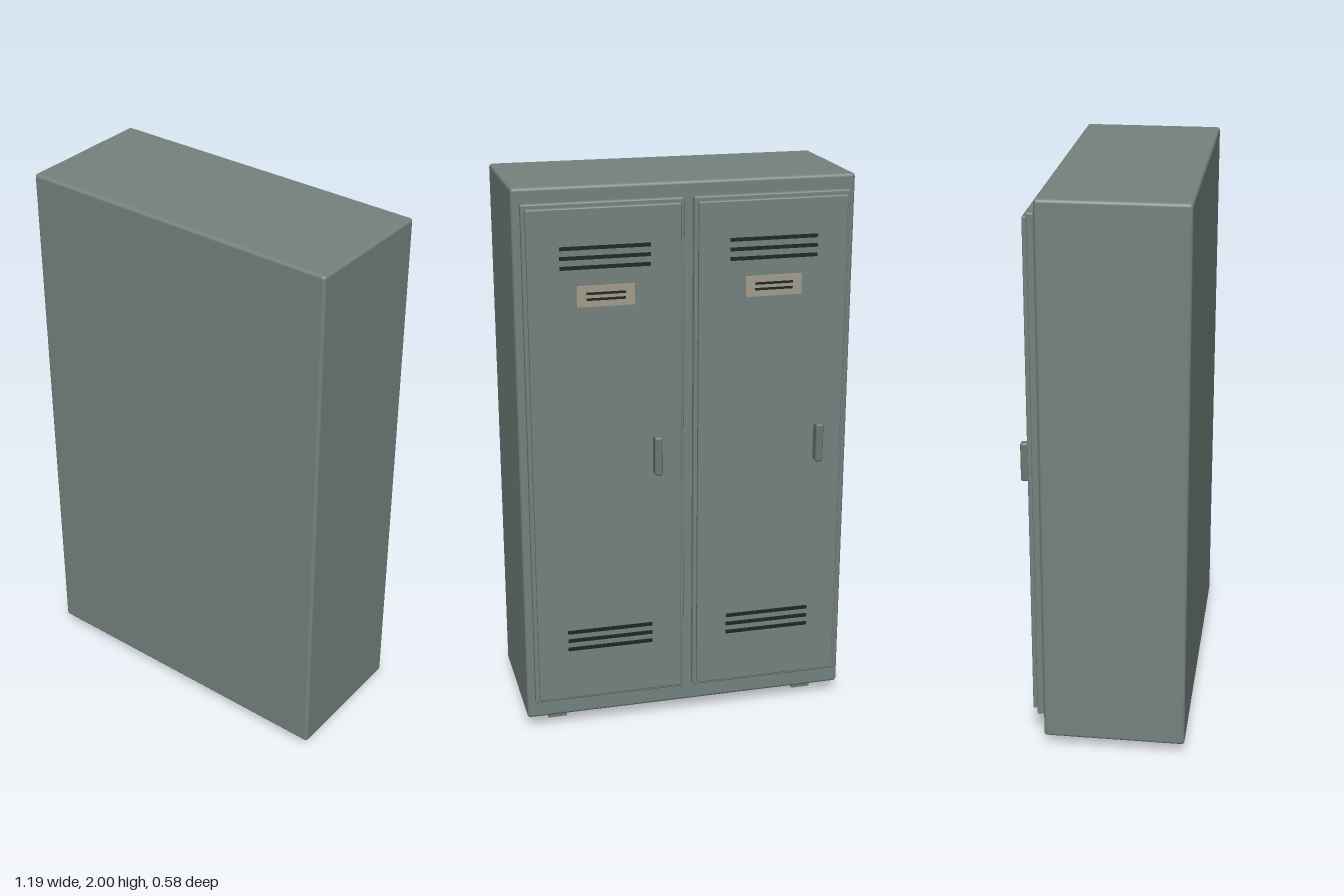
import * as THREE from 'three';
import { RoundedBoxGeometry } from 'three/addons/geometries/RoundedBoxGeometry.js';

const mat = (color) => new THREE.MeshStandardMaterial({ color });

export function createModel() {
  const model = new THREE.Group();
  model.name = 'lockerCabinet';
  const paint = mat(0x74827e);
  const handlePaint = mat(0x6c7673);
  const dark = mat(0x1e2424);
  const plate = mat(0xa39c8c);

  // Box given by its extents; a radius rounds the edges
  const box = (parent, name, [x0, x1], [y0, y1], [z0, z1], material, radius = 0) => {
    const size = [x1 - x0, y1 - y0, z1 - z0];
    const geometry = radius
      ? new RoundedBoxGeometry(...size, 3, radius)
      : new THREE.BoxGeometry(...size);
    const mesh = new THREE.Mesh(geometry, material);
    mesh.name = name;
    mesh.position.set((x0 + x1) / 2, (y0 + y1) / 2, (z0 + z1) / 2);
    parent.add(mesh);
  };

  // Cabinet body
  box(model, 'body', [-0.597, 0.597], [0.047, 2], [-0.211, 0.291], paint, 0.012);

  // Feet rails
  for (const x of [-0.475, 0.475]) {
    box(model, 'footRail', [x - 0.035, x + 0.035], [0, 0.05], [-0.14, 0.23], handlePaint);
  }

  // Doors on the -z side, each built around its own centre line
  for (const [name, x] of [['rightDoor', -0.295], ['leftDoor', 0.293]]) {
    const door = new THREE.Group();
    door.name = name;
    door.position.x = x;
    model.add(door);

    box(door, 'doorFrame', [-0.277, 0.277], [0.12, 1.95], [-0.239, -0.214], paint, 0.006);
    box(door, 'doorPanel', [-0.264, 0.264], [0.135, 1.935], [-0.255, -0.237], paint, 0.005);

    // Vent slots above and below
    for (const middle of [1.768, 0.367]) {
      for (const step of [-1, 0, 1]) {
        const y = middle + step * 0.033;
        box(door, 'ventSlot', [-0.155, 0.155], [y - 0.006, y + 0.006], [-0.261, -0.253], dark);
      }
    }

    // Name plate with two plain bars
    box(door, 'namePlate', [-0.1, 0.1], [1.6, 1.672], [-0.262, -0.253], plate);
    for (const y of [1.626, 1.646]) {
      box(door, 'plateBar', [-0.067, 0.067], [y - 0.004, y + 0.004], [-0.265, -0.26], dark);
    }

    // Handle
    box(door, 'handle', [-0.188, -0.16], [0.985, 1.127], [-0.294, -0.253], handlePaint, 0.008);
  }
  return model;
}
